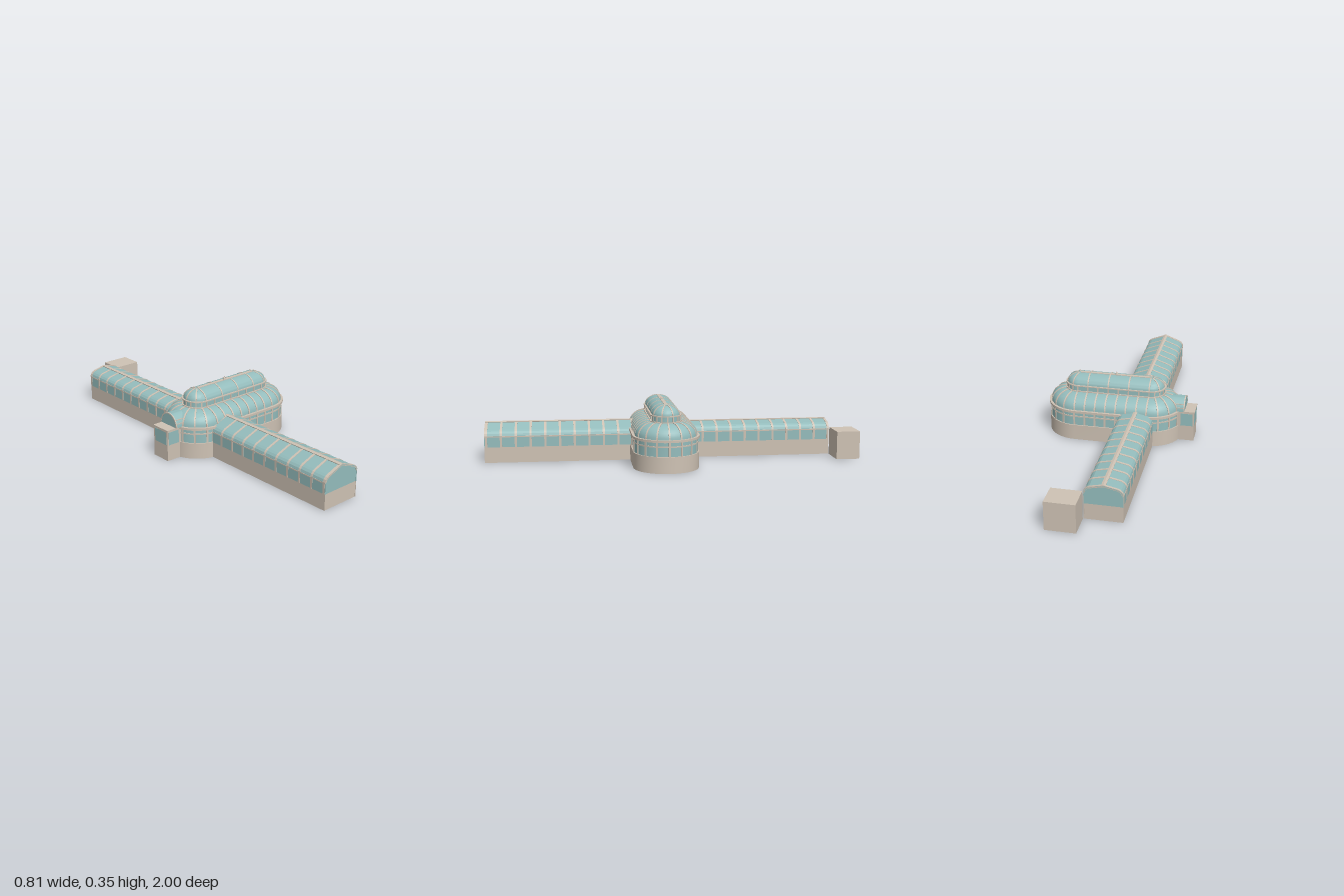
import * as THREE from 'three';
import { toCreasedNormals } from 'three/addons/utils/BufferGeometryUtils.js';

const stone = new THREE.MeshStandardMaterial({ color: 0xcec2b4, side: THREE.DoubleSide });
stone.name = 'pale stone';
const glass = new THREE.MeshStandardMaterial({ color: 0x94bcbc, side: THREE.DoubleSide });
glass.name = 'blue green glass';

// Hall plan: a stadium along x
const CX = 0.035, CZ = 0.06, HALF = 0.195;

function add(parent, name, geo, mat, x = 0, y = 0, z = 0) {
  const m = new THREE.Mesh(geo, mat);
  m.name = name;
  m.position.set(x, y, z);
  parent.add(m);
  return m;
}

function box(parent, name, mat, x0, x1, y0, y1, z0, z1) {
  return add(parent, name, new THREE.BoxGeometry(x1 - x0, y1 - y0, z1 - z0), mat,
    (x0 + x1) / 2, (y0 + y1) / 2, (z0 + z1) / 2);
}

// Closed strip between a profile and its copy moved outward by t
function band(pts, t, inner = 0) {
  const shift = (d) => pts.map((p, i) => {
    const a = pts[Math.max(i - 1, 0)], b = pts[Math.min(i + 1, pts.length - 1)];
    const l = Math.hypot(b[0] - a[0], b[1] - a[1]);
    return new THREE.Vector2(p[0] + (b[1] - a[1]) / l * d, p[1] - (b[0] - a[0]) / l * d);
  });
  return new THREE.Shape([...shift(t), ...shift(-inner).reverse()]);
}

function extrude(shape, depth) {
  return new THREE.ExtrudeGeometry(shape, { depth, bevelEnabled: false });
}

// Sweep a (radius, height) profile round the stadium
function sweep(profile, arcSegs = 20) {
  const pos = [], idx = [], n = profile.length, rings = 2 * (arcSegs + 1);
  for (let side = 0; side < 2; side++) {
    for (let i = 0; i <= arcSegs; i++) {
      const a = -Math.PI / 2 + side * Math.PI + Math.PI * i / arcSegs;
      const cx = CX + (side ? -HALF : HALF);
      for (const [r, y] of profile) pos.push(cx + r * Math.cos(a), y, CZ + r * Math.sin(a));
    }
  }
  for (let s = 0; s < rings; s++) {
    for (let j = 0; j < n - 1; j++) {
      const a = s * n + j, b = ((s + 1) % rings) * n + j;
      idx.push(a, a + 1, b, b, a + 1, b + 1);
    }
  }
  const g = new THREE.BufferGeometry();
  g.setAttribute('position', new THREE.Float32BufferAttribute(pos, 3));
  g.setIndex(idx);
  return toCreasedNormals(g, 0.6);
}

const ringProfile = (r0, r1, y0, y1) => [[r0, y0], [r1, y0], [r1, y1], [r0, y1], [r0, y0]];

// Quarter ellipse from (r0, y0) up and inward to (r1, y1)
function domeProfile(r0, r1, y0, y1, n = 10) {
  return Array.from({ length: n + 1 }, (_, i) => {
    const t = Math.PI / 2 * i / n;
    return [r1 + (r0 - r1) * Math.cos(t), y0 + (y1 - y0) * Math.sin(t)];
  });
}

// Rib positions round the stadium: 8 bays per end, 7 per long side
const stations = [];
for (let side = 0; side < 2; side++) {
  const s = side ? -1 : 1;
  for (let i = 0; i < 8; i++)
    stations.push({ x: CX + s * HALF, a: -Math.PI / 2 + side * Math.PI + Math.PI * i / 8 });
  for (let i = 0; i < 7; i++)
    stations.push({ x: CX + s * HALF * (1 - 2 * i / 7), a: Math.PI / 2 + side * Math.PI });
}

function ribs(parent, name, profile, width, list, t = 0.003) {
  const geo = extrude(band(profile, t, 0.001), width);
  geo.translate(0, 0, -width / 2);
  for (const s of list) add(parent, name, geo, stone, s.x, 0, CZ).rotation.y = -s.a;
}

function buildHall() {
  const g = new THREE.Group();
  g.name = 'domedHall';
  const lower = domeProfile(0.161, 0.075, 0.17, 0.241);
  const upper = domeProfile(0.072, 0, 0.275, 0.326);
  const odd = stations.filter((_, i) => i % 2);
  // Lower storey
  add(g, 'hallBase', sweep([[0.17, 0], [0.17, 0.085], [0.164, 0.085]]), stone);
  add(g, 'hallGlassWall', sweep([[0.164, 0.085], [0.164, 0.16]]), glass);
  add(g, 'hallRail', sweep(ringProfile(0.163, 0.167, 0.132, 0.139)), stone);
  add(g, 'hallCornice', sweep(ringProfile(0.16, 0.174, 0.158, 0.17)), stone);
  ribs(g, 'hallMullion', [[0.164, 0.085], [0.164, 0.16]], 0.01, stations);
  add(g, 'lowerDome', sweep(lower), glass);
  ribs(g, 'lowerDomeRib', lower, 0.008, stations);
  // Lantern storey
  add(g, 'lanternSill', sweep(ringProfile(0.07, 0.081, 0.241, 0.246)), stone);
  add(g, 'lanternGlassWall', sweep([[0.074, 0.244], [0.074, 0.274]]), glass);
  ribs(g, 'lanternMullion', [[0.074, 0.245], [0.074, 0.273]], 0.007, stations);
  add(g, 'lanternCornice', sweep(ringProfile(0.07, 0.081, 0.272, 0.277)), stone);
  add(g, 'upperDome', sweep(upper), glass);
  ribs(g, 'upperDomeRib', upper.slice(0, -1), 0.007, odd, 0.002);
  box(g, 'domeRidge', stone, CX - HALF, CX + HALF, 0.323, 0.328, CZ - 0.009, CZ + 0.009);
  // Finial
  const finial = [[0.007, 0], [0.007, 0.006], [0.005, 0.011], [0.002, 0.015], [0, 0.02]]
    .map(([x, y]) => new THREE.Vector2(x, y));
  add(g, 'finial', new THREE.LatheGeometry(finial, 12), stone, 0.03, 0.326, CZ);
  return g;
}

// Glazed wing: stone plinth, curved eaves, pitched roof. The gable is at zEnd.
function buildWing(name, cx, w, peak, zHall, zEnd, firstRib, step) {
  const g = new THREE.Group();
  g.name = name;
  g.position.x = cx;
  const z0 = Math.min(zHall, zEnd), z1 = Math.max(zHall, zEnd), len = z1 - z0;
  const dir = Math.sign(zEnd - zHall), plinth = 0.083;
  const half = [[w, plinth], [w, 0.143], [w - 0.004, 0.155], [w - 0.013, 0.165], [w - 0.025, 0.172]];
  const pts = [...half, [0, peak], ...half.map(([x, y]) => [-x, y]).reverse()];
  for (const s of [-1, 1]) {
    const a = s * w, b = s * (w - 0.003);
    box(g, 'wingPlinth', stone, Math.min(a, b), Math.max(a, b), 0, plinth, z0, z1);
    const r = s * (w + 0.002);
    box(g, 'wingRail', stone, Math.min(r, b), Math.max(r, b), 0.136, 0.142, z0, z1);
  }
  add(g, 'wingGlazing', extrude(band(pts, 0, 0.003), len), glass, 0, 0, z0);
  // Gable ends
  for (const z of [zHall, zEnd - dir * 0.002]) {
    add(g, 'gableGlass', new THREE.ShapeGeometry(new THREE.Shape(pts.map(p => new THREE.Vector2(...p)))), glass, 0, 0, z);
    add(g, 'gableBase', new THREE.PlaneGeometry(2 * w, plinth), stone, 0, plinth / 2, z);
  }
  add(g, 'gableTrim', extrude(band(pts.slice(1, -1), 0.003, 0.006), 0.01), stone, 0, 0, dir > 0 ? z1 - 0.01 : z0);
  // Rafters and ridge
  const rafter = extrude(band(pts, 0.002, 0.001), 0.012);
  for (let z = firstRib; dir * (z - zHall) > 0; z -= dir * step) add(g, 'rafter', rafter, stone, 0, 0, z - 0.006);
  const dy = 0.01 * (peak - 0.172) / (w - 0.025);
  add(g, 'wingRidge', extrude(band([[0.01, peak - dy], [0, peak], [-0.01, peak - dy]], 0.004, 0.001), len), stone, 0, 0, z0);
  return g;
}

function buildAnnexe() {
  const g = new THREE.Group();
  g.name = 'sideAnnexe';
  box(g, 'annexeBlock', stone, -0.403, -0.3, 0, 0.166, 0.002, 0.112);
  box(g, 'annexeRoof', stone, -0.405, -0.3, 0.162, 0.169, 0, 0.114);
  // Window plates
  for (const z of [0.002, 0.112])
    box(g, 'annexeWindow', glass, -0.395, -0.33, 0.086, 0.156, z - 0.001, z + 0.001);
  box(g, 'annexeWindow', glass, -0.404, -0.402, 0.086, 0.156, 0.012, 0.102);
  // Barrel vault running into the dome
  const arc = domeProfile(0.062, 0, 0.169, 0.235);
  const pts = [...arc, ...arc.slice(0, -1).map(([x, y]) => [-x, y]).reverse()];
  const vault = new THREE.Group();
  vault.name = 'annexeVault';
  vault.position.set(-0.35, 0, 0.057);
  vault.rotation.y = Math.PI / 2;
  add(vault, 'vaultGlass', toCreasedNormals(extrude(new THREE.Shape(pts.map(p => new THREE.Vector2(...p))), 0.12), 0.6), glass);
  add(vault, 'vaultTrim', extrude(band(pts, 0.002, 0.004), 0.006), stone, 0, 0, -0.001);
  for (const i of [2, 4, 16, 18])
    add(vault, 'vaultBar', new THREE.BoxGeometry(0.004, 0.004, 0.1), stone, pts[i][0], pts[i][1], 0.05);
  g.add(vault);
  return g;
}

export function createModel() {
  const model = new THREE.Group();
  model.name = 'glasshouse';
  model.add(buildHall());
  model.add(buildWing('frontWing', -0.087, 0.108, 0.203, 0.19, 1, 0.99, 0.0775));
  model.add(buildWing('backWing', -0.103, 0.094, 0.187, -0.08, -0.872, -0.865, 0.0775));
  model.add(buildAnnexe());
  box(model, 'cornerBlock', stone, -0.005, 0.147, 0, 0.15, -1, -0.874);
  // Vault was laid out along z; turn it to run towards the hall
  const v = model.getObjectByName('annexeVault');
  v.rotation.y = Math.PI / 2;
  return model;
}
